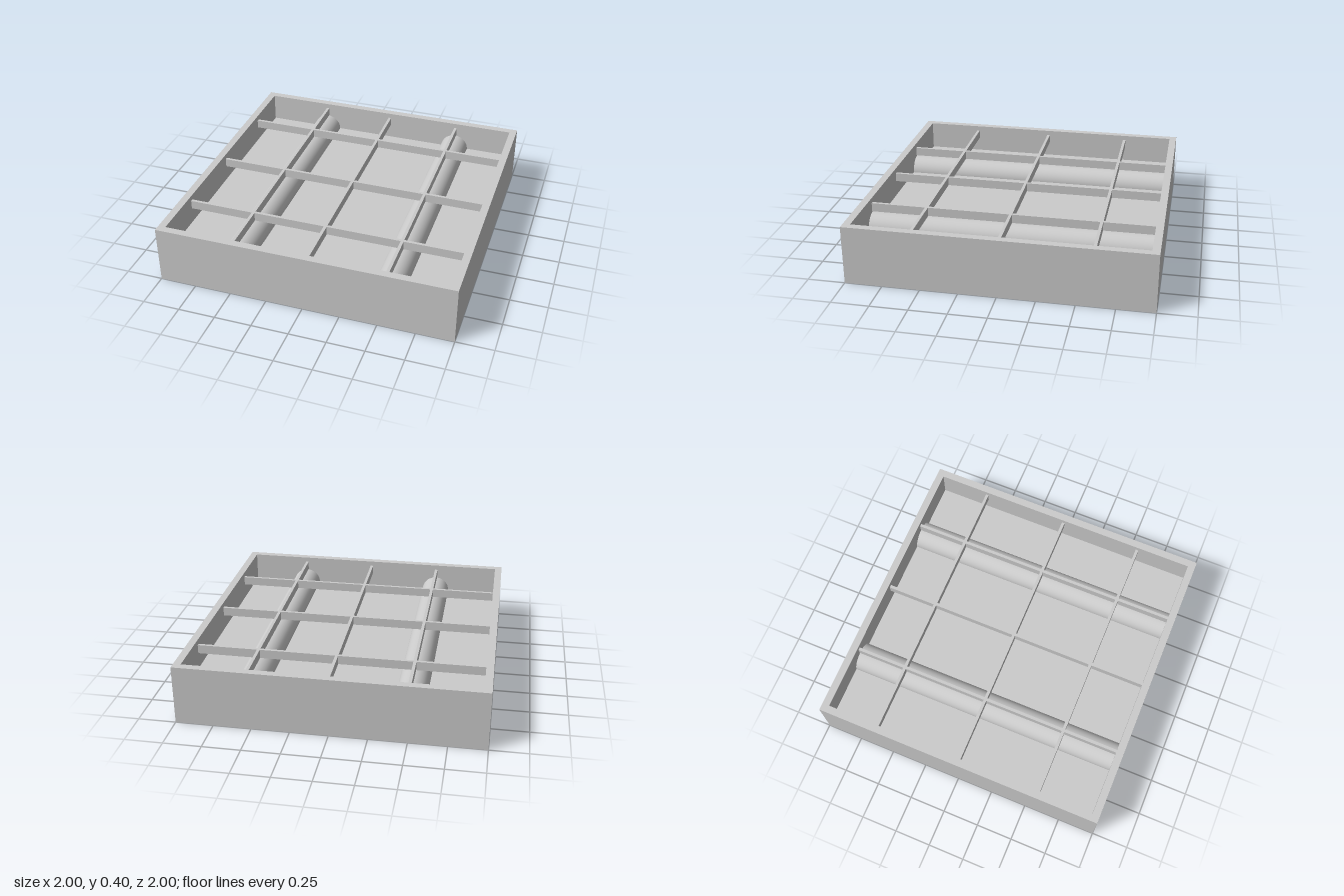
import * as THREE from 'three';

export function createModel() {
  const group = new THREE.Group();
  const flat = new THREE.MeshStandardMaterial({ color: 0xcccccc, flatShading: true });
  const smooth = new THREE.MeshStandardMaterial({ color: 0xcccccc });
  const inner = 0.95, floorY = 0.2, height = 0.4;
  const slatHeight = 0.06, slatY = 0.335, slatWidth = 0.02;
  const columns = [-0.495, 0.015, 0.537];
  const rows = [-0.6, 0, 0.57];

  function add(name, geometry, material, x = 0, y = 0, z = 0) {
    const mesh = new THREE.Mesh(geometry, material);
    mesh.name = name;
    mesh.position.set(x, y, z);
    group.add(mesh);
    return mesh;
  }

  // Square housing: one tray profile swept around four corners
  const r = Math.SQRT2;
  const profile = [
    [0, 0], [r, 0], [r, height], [inner * r, height], [inner * r, floorY], [0, floorY],
  ].map(([x, y]) => new THREE.Vector2(x, y));
  add('housing', new THREE.LatheGeometry(profile, 4, Math.PI / 4), flat);

  // Two lamp tubes, half sunk into the tray floor
  for (const x of [columns[0], columns[2]]) {
    const tube = new THREE.CylinderGeometry(0.1, 0.1, inner * 2, 48).rotateX(Math.PI / 2);
    add('lampTube', tube, smooth, x, floorY, 0);
  }

  // Louvre grid of crossing slats
  for (const x of columns) {
    add('lengthwiseSlat', new THREE.BoxGeometry(slatWidth, slatHeight, inner * 2), flat, x, slatY, 0);
  }
  for (const z of rows) {
    add('crosswiseSlat', new THREE.BoxGeometry(inner * 2, slatHeight, slatWidth), flat, 0, slatY, z);
  }

  return group;
}
